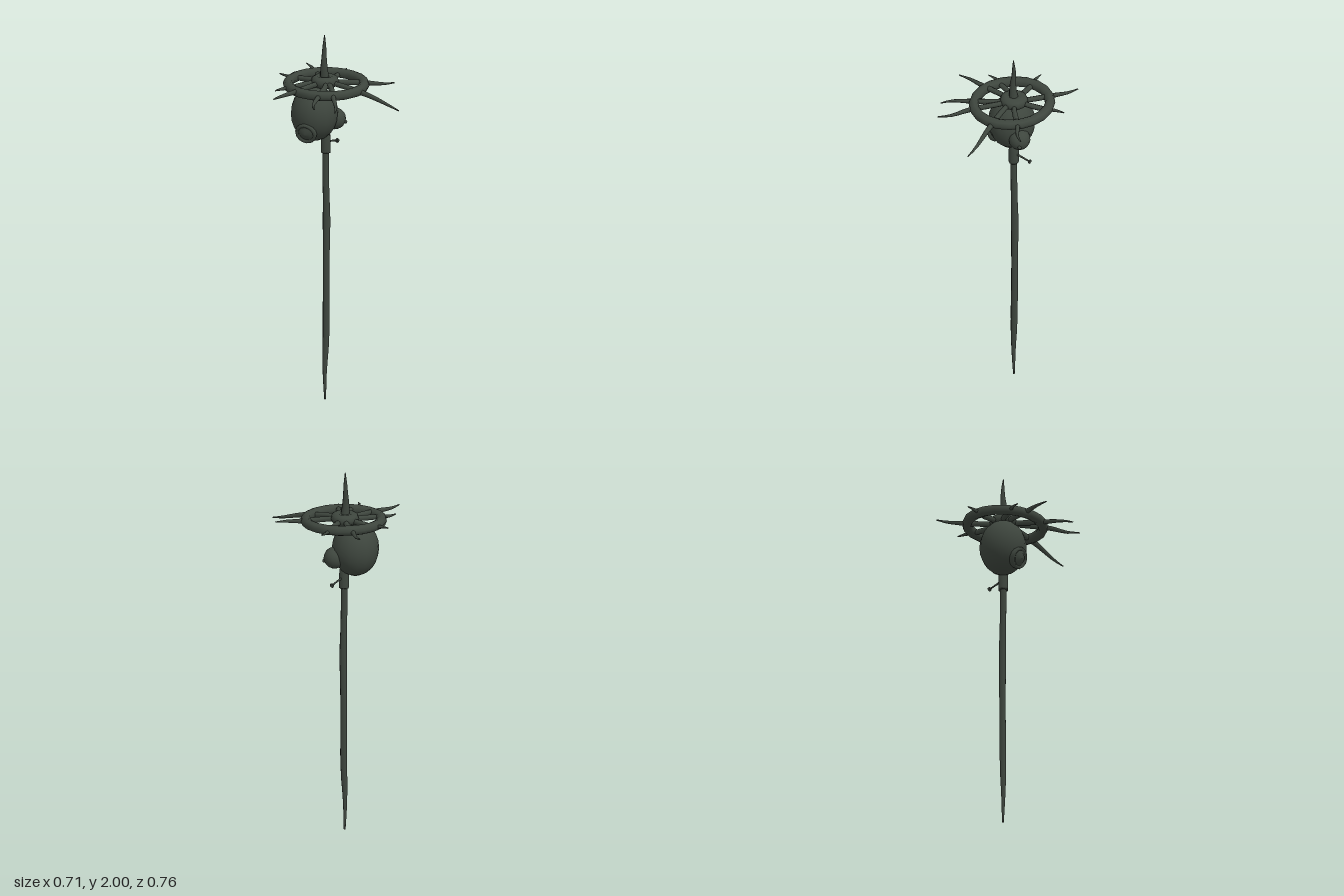
import * as THREE from 'three';

const iron = new THREE.MeshStandardMaterial({ color: 0x3e463e });
iron.name = 'dark iron';

const V = (p) => new THREE.Vector3(...p);

export function createModel() {
  const root = new THREE.Group();

  const add = (name, geometry, pos = [0, 0, 0]) => {
    const mesh = new THREE.Mesh(geometry, iron);
    mesh.name = name;
    mesh.position.set(...pos);
    root.add(mesh);
    return mesh;
  };

  // Tube through points, with a radius given at evenly spaced stops
  const taper = (points, radii, segments, sides) => {
    const curve = new THREE.CatmullRomCurve3(points.map(V));
    const g = new THREE.TubeGeometry(curve, segments, 1, sides);
    const pos = g.attributes.position, v = new THREE.Vector3();
    for (let i = 0; i <= segments; i++) {
      const t = (i / segments) * (radii.length - 1);
      const k = Math.min(Math.floor(t), radii.length - 2);
      const r = THREE.MathUtils.lerp(radii[k], radii[k + 1], t - k);
      const c = curve.getPointAt(i / segments);
      for (let j = 0; j <= sides; j++) {
        const n = i * (sides + 1) + j;
        v.fromBufferAttribute(pos, n).sub(c).multiplyScalar(r).add(c);
        pos.setXYZ(n, v.x, v.y, v.z);
      }
    }
    return g;
  };
  const lathe = (profile, sides) =>
    new THREE.LatheGeometry(profile.map((p) => new THREE.Vector2(...p)), sides);
  const aim = (mesh, dir) =>
    mesh.quaternion.setFromUnitVectors(new THREE.Vector3(0, 1, 0), V(dir).normalize());

  // Staff, slightly uneven, sharpened at the foot
  add('staff', taper(
    [[0.027, 0, -0.04], [0.024, 0.15, -0.039], [0.031, 0.35, -0.038], [0.033, 0.7, -0.04],
      [0.035, 1.0, -0.039], [0.03, 1.2, -0.038], [0.028, 1.4, -0.037]],
    [0.005, 0.011, 0.017, 0.019, 0.018, 0.018, 0.019, 0.021, 0.018, 0.018, 0.018], 20, 8));

  // Socket between staff and head, with the nail through it
  add('socket', lathe([[0, 1.355], [0.026, 1.355], [0.027, 1.36], [0.027, 1.43],
    [0.022, 1.47], [0.012, 1.5], [0, 1.5]], 10), [0.029, 0, -0.037]);
  add('nailShank', taper([[0.03, 1.416, -0.037], [0.08, 1.406, -0.057], [0.123, 1.396, -0.077]],
    [0.006, 0.0045], 4, 6));
  const head = add('nailHead', new THREE.CylinderGeometry(0.013, 0.01, 0.008, 8), [0.123, 1.396, -0.077]);
  aim(head, [0.093, -0.02, -0.04]);

  // Large globe
  const globe = add('globe', new THREE.SphereGeometry(1, 16, 12), [-0.027, 1.575, -0.06]);
  globe.scale.set(0.126, 0.15, 0.125);

  // Flanged cup on the lower side of the globe
  const cup = add('cup', lathe([[0.045, -0.04], [0.056, -0.015], [0.06, 0.005], [0.054, 0.016],
    [0.043, 0.01], [0.041, 0.004], [0.03, 0.016], [0, 0.022]], 14), [-0.112, 1.488, -0.005]);
  aim(cup, [-0.75, -0.35, 0.55]);

  // Small globe with a little stud
  add('smallGlobe', new THREE.SphereGeometry(0.058, 14, 10), [0.086, 1.533, -0.037]);
  add('stud', new THREE.SphereGeometry(0.011, 8, 6), [0.132, 1.515, -0.008]);

  // Wheel rim, tipped a little toward the front
  const rim = add('wheelRim', new THREE.TorusGeometry(0.202, 0.0275, 8, 20).rotateX(Math.PI / 2),
    [0.026, 1.732, -0.028]);
  rim.rotation.set(0.045, 0, 0.02);

  // Rounded hub and the tall spike above it
  add('hub', lathe([[0, 1.715], [0.05, 1.715], [0.068, 1.728], [0.075, 1.747], [0.068, 1.767],
    [0.048, 1.778], [0.028, 1.772], [0, 1.768]], 14), [0.026, 0, -0.04]);
  add('topSpike', taper([[0.024, 1.755, -0.04], [0.019, 1.83, -0.038], [0.023, 1.91, -0.042], [0.023, 2, -0.039]],
    [0.026, 0.02, 0.014, 0.01, 0.002], 10, 8));

  // Crooked spokes running out past the rim: x, z pairs and tip height
  const spokes = [
    [[0.055, -0.11], [0.09, -0.25], [0.115, -0.325], [0.12, -0.382], 1.747],
    [[-0.01, -0.12], [-0.045, -0.19], [-0.08, -0.235], [-0.1, -0.29], 1.745],
    [[0.09, -0.08], [0.15, -0.125], [0.21, -0.178], [0.261, -0.205], 1.74],
    [[-0.04, -0.062], [-0.15, -0.07], [-0.22, -0.081], [-0.266, -0.068], 1.728],
    [[-0.05, -0.022], [-0.2, 0.015], [-0.295, 0.033], [-0.356, 0.06], 1.724],
    [[-0.02, 0.04], [-0.105, 0.12], [-0.2, 0.21], [-0.222, 0.262], 1.695],
    [[0.005, 0.05], [-0.06, 0.19], [-0.098, 0.275], [-0.14, 0.331], 1.68],
    [[0.06, 0.04], [0.145, 0.2], [0.205, 0.315], [0.229, 0.38], 1.653],
    [[0.1, 0.005], [0.22, 0.06], [0.3, 0.112], [0.356, 0.124], 1.728],
  ];
  for (const [a, b, c, d, tipY] of spokes) {
    const drop = tipY - 1.738;
    add('spoke', taper([[0.026, 1.742, -0.04], [a[0], 1.74, a[1]], [b[0], 1.735 + drop * 0.3, b[1]],
      [c[0], 1.735 + drop * 0.75, c[1]], [d[0], tipY, d[1]]],
    [0.013, 0.014, 0.015, 0.015, 0.012, 0.008, 0.003], 12, 7));
  }

  return root;
}
